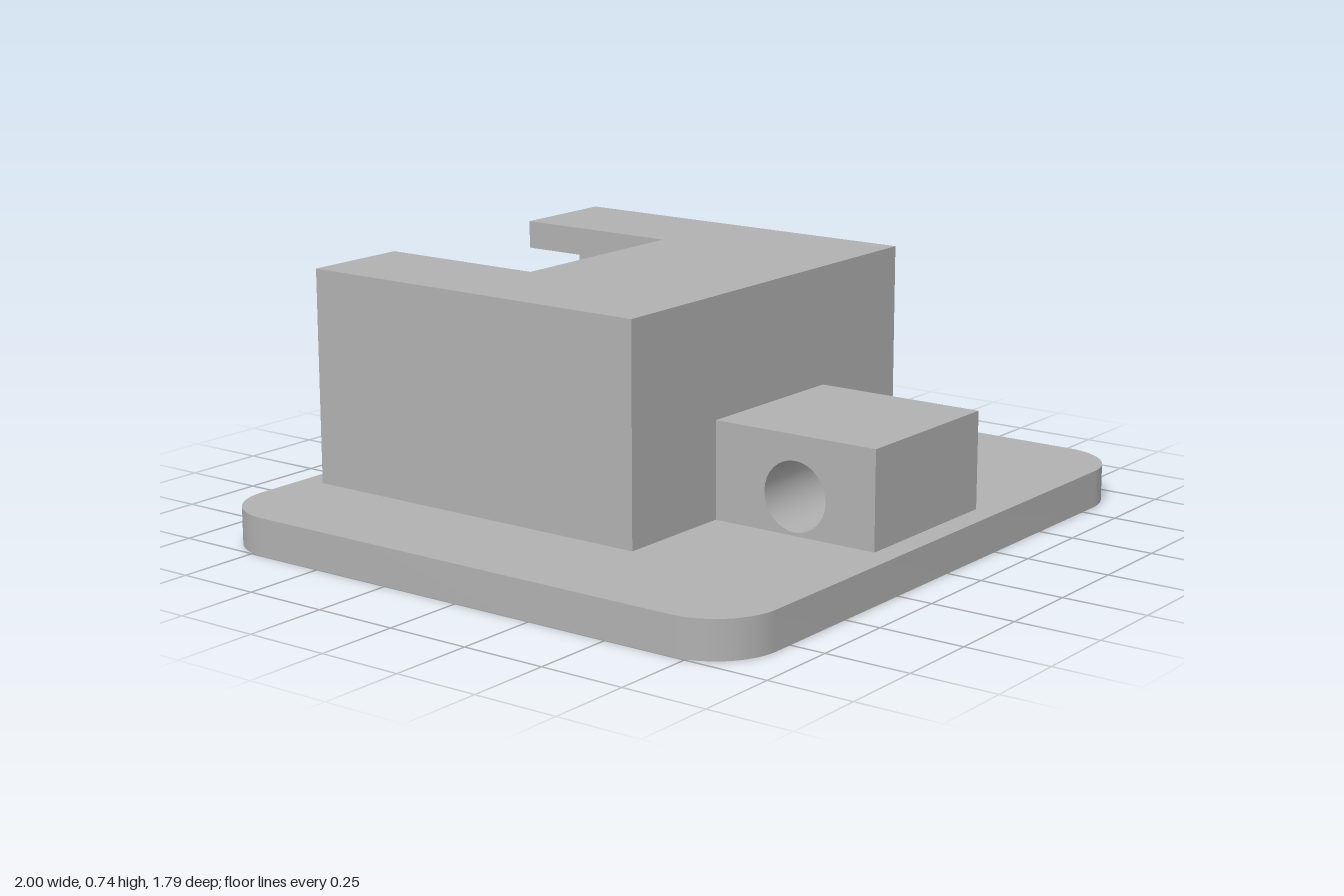
import * as THREE from 'three';
import { toCreasedNormals } from 'three/addons/utils/BufferGeometryUtils.js';

const BASE_TOP = 0.11, TOP = 0.74, WALL = 0.083;
const HALF_W = 0.635, BACK = -0.825, FRONT = 0.305;

export function createModel() {
  const model = new THREE.Group();
  model.name = 'mountedHousing';
  const grey = new THREE.MeshStandardMaterial({ color: 0xb0b0b0 });
  grey.name = 'grey';

  function add(name, geometry) {
    const mesh = new THREE.Mesh(geometry, grey);
    mesh.name = name;
    model.add(mesh);
    return mesh;
  }
  const extrude = (shape, depth) => toCreasedNormals(
    new THREE.ExtrudeGeometry(shape, { depth, bevelEnabled: false, curveSegments: 16 }), 0.6);
  // Plan outlines use (x, -z) and rise from y0 to y1
  const slab = (shape, y0, y1) => extrude(shape, y1 - y0).rotateX(-Math.PI / 2).translate(0, y0, 0);
  const polygon = (pts) => new THREE.Shape(pts.map(([x, z]) => new THREE.Vector2(x, -z)));

  // Base plate with rounded corners
  const w = 1, d = 0.895, r = 0.19;
  const plate = new THREE.Shape();
  plate.absarc(w - r, d - r, r, 0, Math.PI / 2);
  plate.absarc(-w + r, d - r, r, Math.PI / 2, Math.PI);
  plate.absarc(-w + r, -d + r, r, Math.PI, Math.PI * 1.5);
  plate.absarc(w - r, -d + r, r, Math.PI * 1.5, Math.PI * 2);
  plate.closePath();
  add('basePlate', slab(plate, 0, BASE_TOP));

  // Housing walls: U-shaped in plan, open at the back
  const inner = HALF_W - WALL;
  add('housingWalls', slab(polygon([
    [-HALF_W, FRONT], [HALF_W, FRONT], [HALF_W, BACK], [inner, BACK],
    [inner, FRONT - WALL], [-inner, FRONT - WALL], [-inner, BACK], [-HALF_W, BACK],
  ]), BASE_TOP, TOP - WALL));

  // Housing roof with a rectangular notch at the back
  const notch = 0.308;
  add('housingRoof', slab(polygon([
    [-HALF_W, FRONT], [HALF_W, FRONT], [HALF_W, BACK], [notch, BACK],
    [notch, -notch], [-notch, -notch], [-notch, BACK], [-HALF_W, BACK],
  ]), TOP - WALL, TOP));

  // Front lug with a cross hole; its side outline uses (-z, y)
  const side = new THREE.Shape([
    [-0.825, BASE_TOP], [-FRONT, BASE_TOP], [-FRONT, 0.393], [-0.825, 0.393],
  ].map(([x, y]) => new THREE.Vector2(x, y)));
  side.holes.push(new THREE.Path().absarc(-0.568, 0.22, 0.1, 0, Math.PI * 2, true));
  add('frontLug', extrude(side, 0.52).rotateY(Math.PI / 2).translate(-0.26, 0, 0));

  return model;
}
